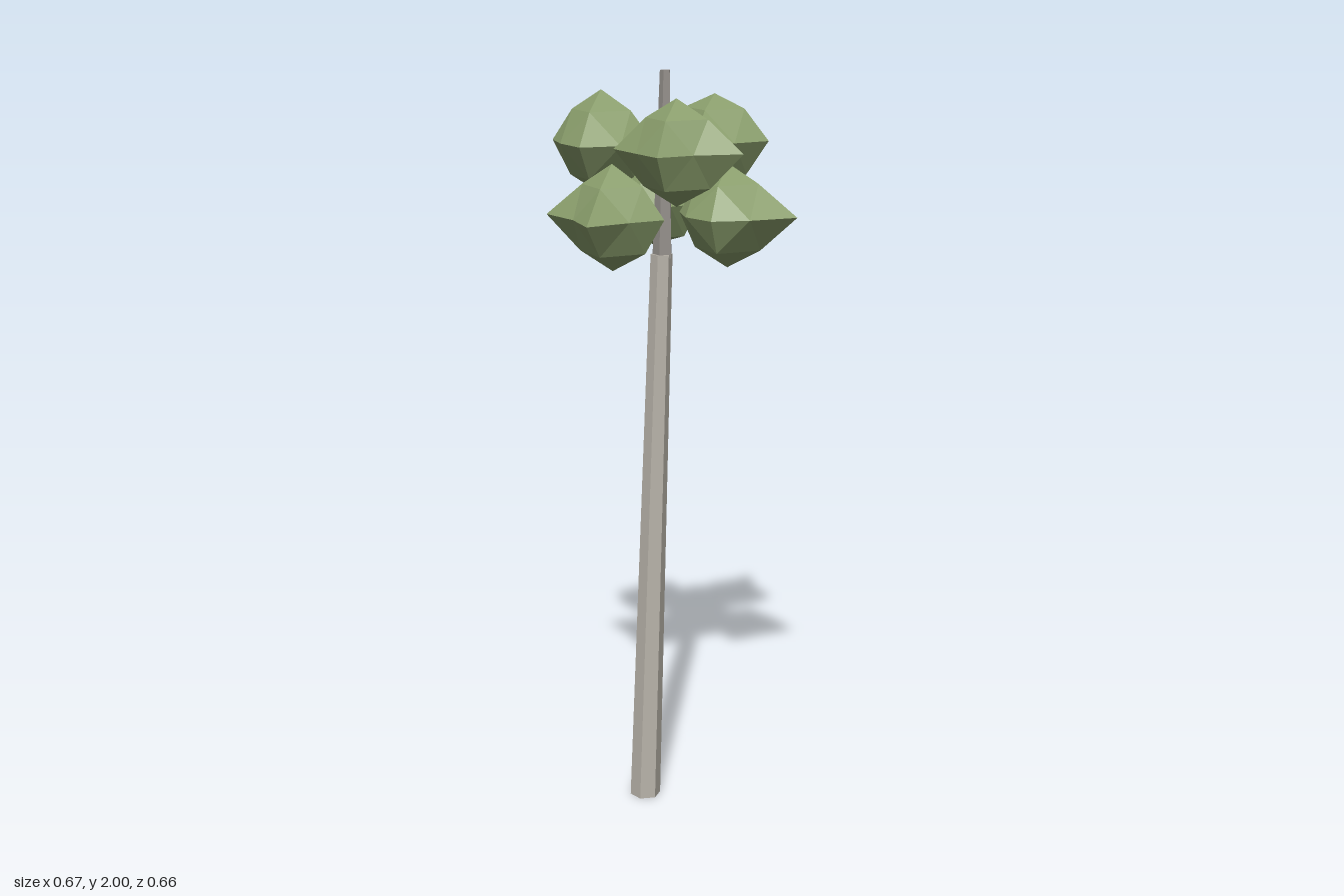
import * as THREE from 'three';

const bark = new THREE.MeshStandardMaterial({ color: 0xb9b4aa, flatShading: true });
const darkBark = new THREE.MeshStandardMaterial({ color: 0x96918c, flatShading: true });
const leaf = new THREE.MeshStandardMaterial({ color: 0x8a9e6c, flatShading: true });

// Tapered, sheared prism with level ends, from a bottom to a top centre
function leaningPrism(name, bottom, rBottom, top, rTop, sides, material) {
  const height = top[1] - bottom[1];
  const geometry = new THREE.CylinderGeometry(rTop, rBottom, height, sides);
  const p = geometry.attributes.position;
  for (let i = 0; i < p.count; i++) {
    const t = p.getY(i) / height + 0.5;
    p.setXYZ(i,
      p.getX(i) + bottom[0] + (top[0] - bottom[0]) * t,
      bottom[1] + height * t,
      p.getZ(i) + bottom[2] + (top[2] - bottom[2]) * t);
  }
  geometry.computeVertexNormals();
  const mesh = new THREE.Mesh(geometry, material);
  mesh.name = name;
  return mesh;
}

// Faceted leaf clump: each vertex of a once-split octahedron gets its own radius.
// tips: +x -x +y -y +z -z; corners (level diagonals): ++ +- -+ -- in x, z
function leafClump({ at, tips, corners }) {
  const geometry = new THREE.OctahedronGeometry(1, 1);
  const p = geometry.attributes.position;
  const v = new THREE.Vector3();
  for (let i = 0; i < p.count; i++) {
    v.fromBufferAttribute(p, i).normalize();
    const signs = v.toArray().map((c) => (Math.abs(c) < 0.01 ? 0 : Math.sign(c)));
    const axes = [0, 1, 2].filter((a) => signs[a] !== 0);
    let radius = signs[1] > 0 ? 0.115 : 0.125;
    if (axes.length === 1) radius = tips[axes[0] * 2 + (signs[axes[0]] < 0 ? 1 : 0)];
    else if (signs[1] === 0) radius = corners[(signs[0] < 0 ? 2 : 0) + (signs[2] < 0 ? 1 : 0)];
    v.multiplyScalar(radius);
    p.setXYZ(i, v.x, v.y, v.z);
  }
  geometry.computeVertexNormals();
  const mesh = new THREE.Mesh(geometry, leaf);
  mesh.position.set(...at);
  return mesh;
}

const LOW = 1.642, HIGH = 1.814;
const clumps = [
  // Lower ring
  { at: [0.148, LOW, 0.008], tips: [0.185, 0.13, 0.13, 0.137, 0.135, 0.135], corners: [0.123, 0.122, 0.12, 0.12] },
  { at: [-0.11, LOW, -0.143], tips: [0.135, 0.172, 0.13, 0.115, 0.13, 0.167], corners: [0.11, 0.1, 0.12, 0.125] },
  { at: [-0.11, LOW, 0.157], tips: [0.14, 0.18, 0.135, 0.137, 0.173, 0.135], corners: [0.105, 0.125, 0.107, 0.12] },
  // Upper ring
  { at: [-0.196, HIGH, 0.008], tips: [0.146, 0.137, 0.133, 0.137, 0.152, 0.186], corners: [0.122, 0.134, 0.115, 0.125] },
  { at: [0.062, HIGH, -0.143], tips: [0.148, 0.132, 0.118, 0.137, 0.176, 0.19], corners: [0.115, 0.1, 0.107, 0.097] },
  { at: [0.062, HIGH, 0.157], tips: [0.174, 0.167, 0.13, 0.137, 0.142, 0.127], corners: [0.095, 0.13, 0.11, 0.134] },
];

export function createModel() {
  const tree = new THREE.Group();
  tree.name = 'tree';

  // Leaning six-sided trunk and the thinner five-sided tip through the crown
  tree.add(leaningPrism('trunk', [-0.074, 0, 0.032], 0.042, [-0.031, 1.53, 0.009], 0.029, 6, bark));
  tree.add(leaningPrism('trunkTip', [-0.028, 1.52, 0.008], 0.027, [-0.021, 2, 0.006], 0.014, 5, darkBark));

  // Two staggered rings of leaf clumps
  const crown = new THREE.Group();
  crown.name = 'crown';
  clumps.forEach((spec, i) => {
    const clump = leafClump(spec);
    clump.name = (i < 3 ? 'lowerLeafClump' : 'upperLeafClump') + (i % 3 + 1);
    crown.add(clump);
  });
  tree.add(crown);
  return tree;
}
